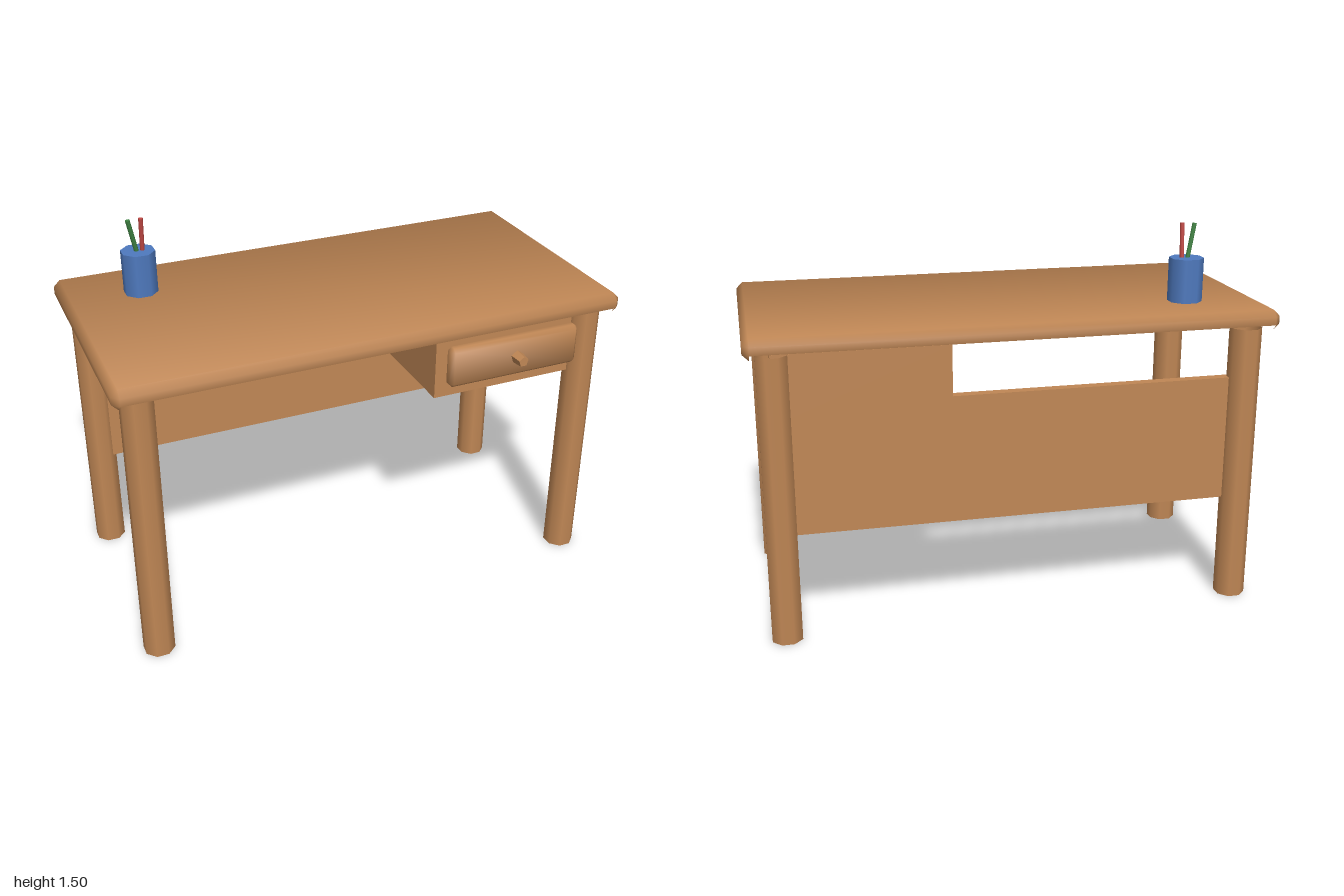
import * as THREE from 'three';

const material = (name, color) => {
  const m = new THREE.MeshStandardMaterial({ color, side: THREE.DoubleSide });
  m.name = name;
  return m;
};

// Open-bottomed slab with bevelled edges and cut corners; its top face lies at y = 0
function bevelledSlab(width, depth, height, bevel) {
  const x = width / 2, z = depth / 2, b = bevel;
  const low = -height + b;
  const positions = [], normals = [], index = [];
  const add = (p, n) => {
    const v = new THREE.Vector3(...n).normalize();
    positions.push(...p);
    normals.push(v.x, v.y, v.z);
    return positions.length / 3 - 1;
  };
  // corners in counter-clockwise order seen from above
  const corners = [[1, 1], [1, -1], [-1, -1], [-1, 1]].map(([sx, sz], i) => {
    const top = add([sx * (x - b), 0, sz * (z - b)], [sx * 0.4, 0.85, sz * 0.4]);
    const alongX = (y, ny) => add([sx * (x - b), y, sz * z], [sx * 0.3, ny, sz]);
    const alongZ = (y, ny) => add([sx * x, y, sz * (z - b)], [sx, ny, sz * 0.3]);
    const up = [alongX(-b, 0.25), alongZ(-b, 0.25)];
    const down = [alongX(low, -0.25), alongZ(low, -0.25)];
    const tip = add([sx * (x - b), -height, sz * (z - b)], [sx, -1, sz]);
    if (i % 2) { up.reverse(); down.reverse(); }
    return { top, up, down, tip };
  });
  const quad = (a, c, d, e) => index.push(a, c, d, a, d, e);
  quad(...corners.map((c) => c.top));
  corners.forEach((c, i) => {
    const n = corners[(i + 1) % 4];
    // cut corner with its small hanging tip
    index.push(c.top, c.up[0], c.up[1]);
    quad(c.up[0], c.down[0], c.down[1], c.up[1]);
    index.push(c.down[0], c.tip, c.down[1]);
    // bevel and side to the next corner
    quad(c.top, c.up[1], n.up[0], n.top);
    quad(c.up[1], c.down[1], n.down[0], n.up[0]);
  });
  const g = new THREE.BufferGeometry();
  g.setAttribute('position', new THREE.Float32BufferAttribute(positions, 3));
  g.setAttribute('normal', new THREE.Float32BufferAttribute(normals, 3));
  g.setIndex(index);
  return g;
}

// Eight-sided post with flats facing the axes
function octagonPost(apothem, height, open) {
  const r = apothem / Math.cos(Math.PI / 8);
  return new THREE.CylinderGeometry(r, r, height, 8, 1, open).rotateY(Math.PI / 8);
}

export function createModel() {
  const group = new THREE.Group();
  group.name = 'desk';
  const wood = material('wood', 0xc08755);
  const blue = material('blue', 0x4f7abf);
  const red = material('red', 0xc04844);
  const green = material('green', 0x3f8242);

  const add = (name, geometry, mat, x, y, z) => {
    const mesh = new THREE.Mesh(geometry, mat);
    mesh.name = name;
    mesh.position.set(x, y, z);
    group.add(mesh);
    return mesh;
  };
  const addBox = (name, x0, x1, y0, y1, z0, z1) =>
    add(name, new THREE.BoxGeometry(x1 - x0, y1 - y0, z1 - z0), wood,
      (x0 + x1) / 2, (y0 + y1) / 2, (z0 + z1) / 2);

  // Table top and legs
  add('tableTop', bevelledSlab(2, 1, 0.08, 0.025), wood, 0, 1.2, 0);
  for (const sx of [-1, 1]) {
    for (const sz of [-1, 1]) {
      add('leg', octagonPost(0.057, 1.12, true), wood, sx * 0.9, 0.56, sz * 0.4);
    }
  }

  // Back panel and drawer case
  addBox('backPanel', -0.88, 0.88, 0.42, 0.92, -0.4, -0.36);
  addBox('drawerCase', 0.25, 0.905, 0.855, 1.12, -0.41, 0.405);

  // Drawer front and knob
  add('drawerFront', bevelledSlab(0.56, 0.165, 0.05, 0.015), wood, 0.575, 0.988, 0.448)
    .rotation.x = Math.PI / 2;
  const knob = new THREE.CylinderGeometry(0.021, 0.028, 0.06, 5).toNonIndexed();
  knob.rotateY(Math.PI).rotateX(Math.PI / 2).computeVertexNormals();
  add('drawerKnob', knob, wood, 0.58, 0.99, 0.469);

  // Pencil cup and pencils
  add('pencilCup', octagonPost(0.062, 0.17, false), blue, -0.703, 1.285, -0.25);
  const addPencil = (name, mat, from, to) => {
    const a = new THREE.Vector3(...from), b = new THREE.Vector3(...to);
    const axis = b.clone().sub(a);
    const mid = a.clone().add(b).multiplyScalar(0.5);
    const mesh = add(name, new THREE.CylinderGeometry(0.009, 0.009, axis.length(), 8), mat,
      mid.x, mid.y, mid.z);
    mesh.quaternion.setFromUnitVectors(new THREE.Vector3(0, 1, 0), axis.normalize());
  };
  addPencil('redPencil', red, [-0.685, 1.33, -0.252], [-0.685, 1.502, -0.234]);
  addPencil('greenPencil', green, [-0.7, 1.33, -0.252], [-0.735, 1.5, -0.237]);
  return group;
}
